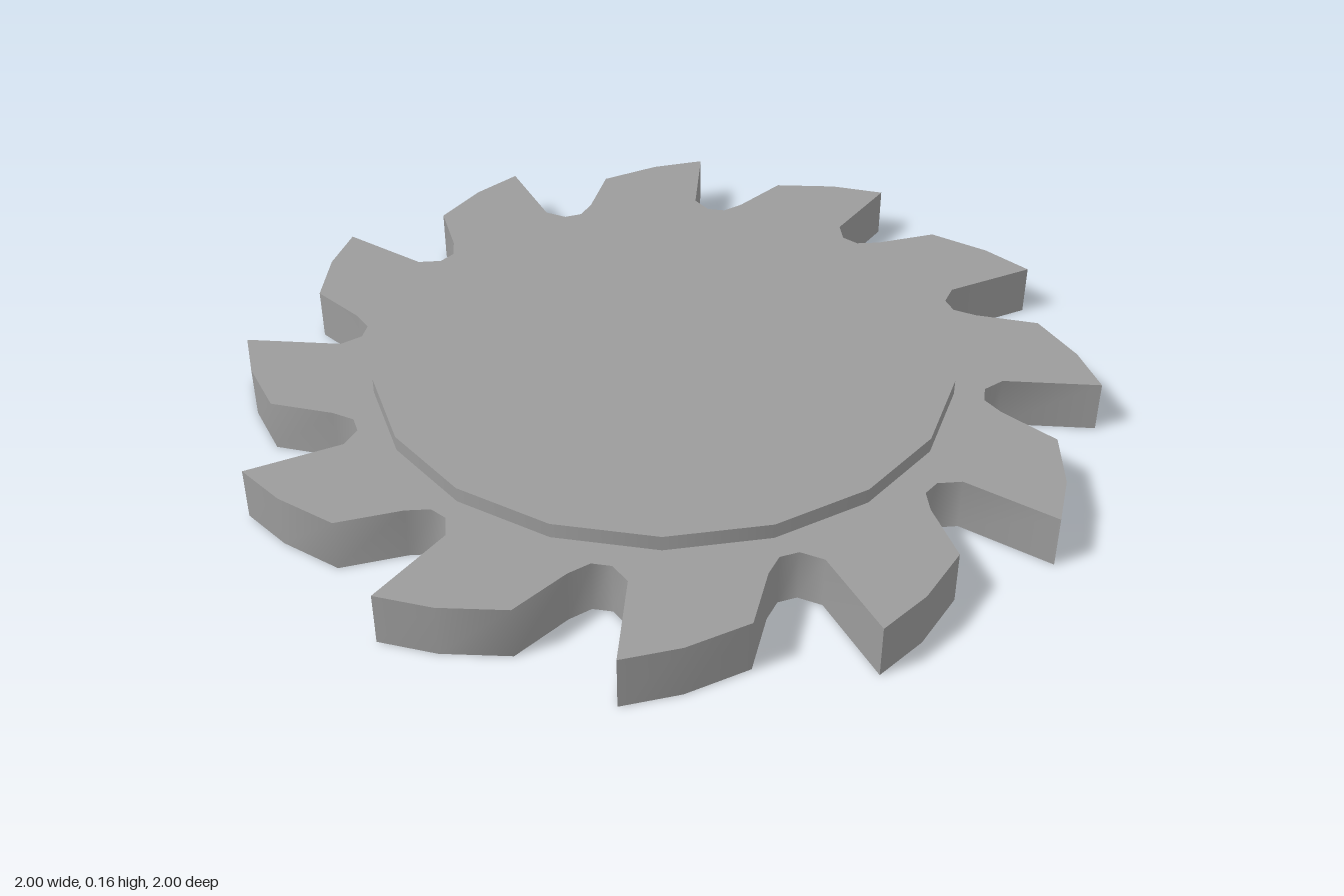
import * as THREE from 'three';
import { toCreasedNormals } from 'three/addons/utils/BufferGeometryUtils.js';

const TEETH = 12, BLADE_TOP = 0.122, HUB_TOP = 0.157, HUB_BOTTOM = 0.045;
const HUB_RADIUS = 0.672, HUB_SIDES = 18, HUB_X = -0.01;

// One tooth: tip, hooked cutting face, rounded gullet, sloping back
const TOOTH = [[-0.085, 1], [-0.062, 0.775], [-0.022, 0.736],
  [0.022, 0.736], [0.062, 0.775], [0.145, 0.9], [0.295, 0.92]];

function bladeOutline() {
  const points = [];
  for (let i = 0; i < TEETH; i++) {
    for (const [x, y] of TOOTH) {
      points.push(new THREE.Vector2(x, y).rotateAround(new THREE.Vector2(), -i * Math.PI * 2 / TEETH));
    }
  }
  return points.reverse(); // counter-clockwise
}

// Upright strip following a closed outline, creased only at the tooth tips
function wallGeometry(outline, bottom, top) {
  const position = [];
  outline.forEach((a, i) => {
    const b = outline[(i + 1) % outline.length];
    position.push(a.x, bottom, -a.y, b.x, bottom, -b.y, b.x, top, -b.y);
    position.push(a.x, bottom, -a.y, b.x, top, -b.y, a.x, top, -a.y);
  });
  const geometry = new THREE.BufferGeometry();
  geometry.setAttribute('position', new THREE.Float32BufferAttribute(position, 3));
  return toCreasedNormals(geometry, THREE.MathUtils.degToRad(62));
}

export function createModel() {
  const group = new THREE.Group();
  const material = new THREE.MeshStandardMaterial({ color: 0x9c9c9c, side: THREE.DoubleSide });
  const add = (name, geometry) => {
    const mesh = new THREE.Mesh(geometry, material);
    mesh.name = name;
    group.add(mesh);
    return mesh;
  };

  // Toothed face, open in the middle under the hub
  const outline = bladeOutline();
  const shape = new THREE.Shape(outline);
  const hole = [];
  for (let i = 0; i < HUB_SIDES; i++) {
    const a = -i * Math.PI * 2 / HUB_SIDES;
    hole.push(new THREE.Vector2(HUB_X + 0.556 * Math.cos(a), 0.556 * Math.sin(a)));
  }
  shape.holes.push(new THREE.Path(hole));
  add('bladeFace', new THREE.ShapeGeometry(shape).rotateX(-Math.PI / 2).translate(0, BLADE_TOP, 0));

  // Rim wall around the teeth, open below
  add('bladeRim', wallGeometry(outline, 0, BLADE_TOP));

  // Hub: cap on top and a skirt reaching down inside the blade
  add('hubWall', new THREE.CylinderGeometry(HUB_RADIUS, HUB_RADIUS, HUB_TOP - HUB_BOTTOM, HUB_SIDES, 1, true, Math.PI / 2))
    .position.set(HUB_X, (HUB_TOP + HUB_BOTTOM) / 2, 0);
  add('hubCap', new THREE.CircleGeometry(HUB_RADIUS, HUB_SIDES).rotateX(-Math.PI / 2))
    .position.set(HUB_X, HUB_TOP, 0);

  return group;
}
